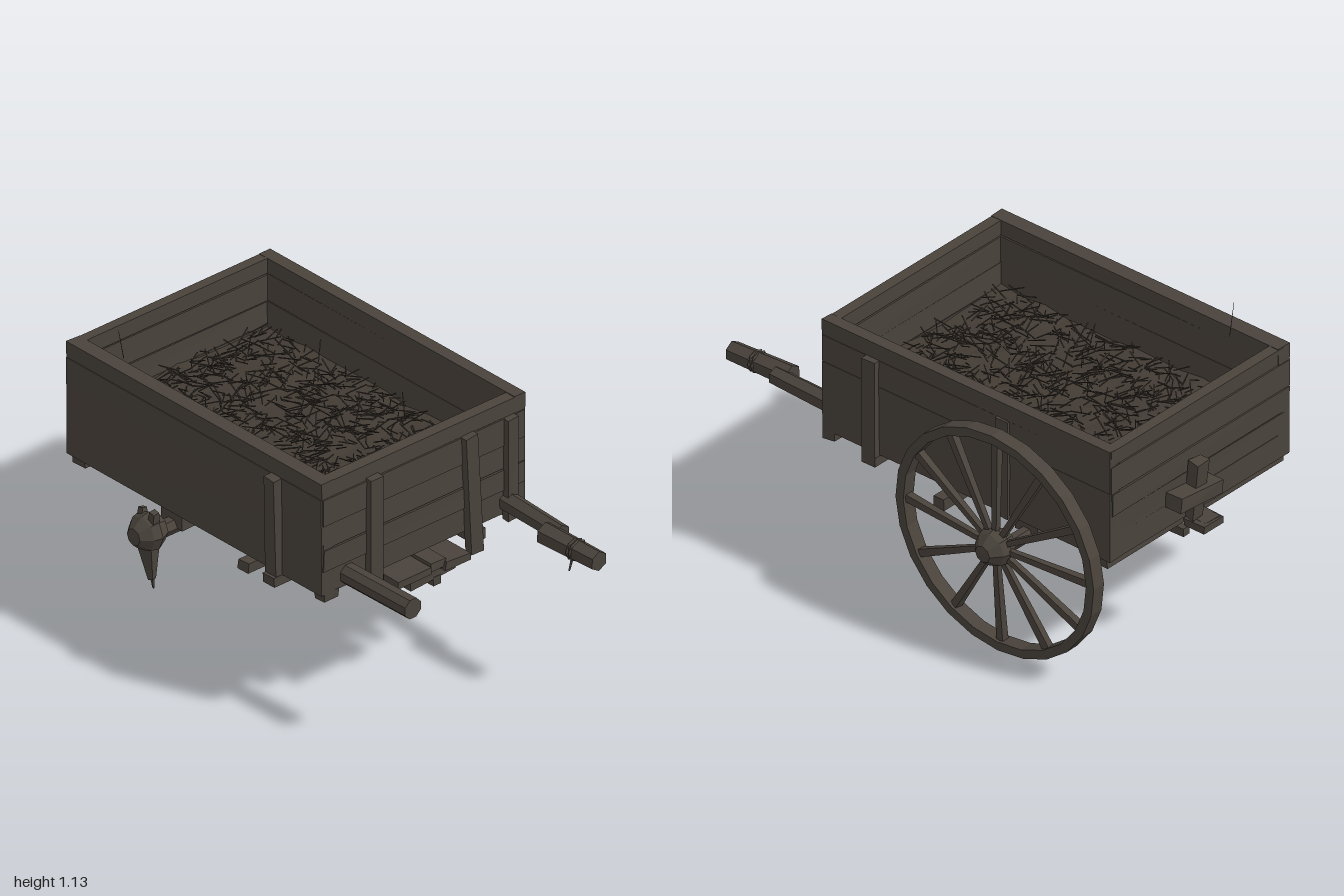
import * as THREE from 'three';
import { mergeGeometries } from 'three/addons/utils/BufferGeometryUtils.js';

let seed = 7;
const rnd = () => ((seed = (seed * 16807) % 2147483647) / 2147483647);
const jit = (a) => (rnd() - 0.5) * 2 * a;

const mat = (name, color) => {
  const m = new THREE.MeshStandardMaterial({ color, flatShading: true });
  m.name = name;
  return m;
};

export function createModel() {
  const wood = mat('weathered wood', 0x4a433c);
  const straw = mat('old straw', 0x423b34);
  const cart = new THREE.Group();
  cart.name = 'cart';

  const add = (name, geo, parent = cart, m = wood) => {
    const mesh = new THREE.Mesh(geo, m);
    mesh.name = name;
    parent.add(mesh);
    return mesh;
  };

  // Rough timber: a box whose eight corners are nudged a little
  const timber = (w, h, d, wear) => {
    const g = new THREE.BoxGeometry(w, h, d);
    const p = g.attributes.position;
    const off = {};
    for (let i = 0; i < p.count; i++) {
      const key = [p.getX(i) > 0, p.getY(i) > 0, p.getZ(i) > 0].join();
      off[key] ??= [jit(wear), jit(wear), jit(wear)];
      p.setXYZ(i, p.getX(i) + off[key][0], p.getY(i) + off[key][1], p.getZ(i) + off[key][2]);
    }
    return g;
  };

  // Timber given by its limits on each axis
  const block = (name, x0, x1, y0, y1, z0, z1, wear = 0.003) => {
    const m = add(name, timber(x1 - x0, y1 - y0, z1 - z0, wear));
    m.position.set((x0 + x1) / 2, (y0 + y1) / 2, (z0 + z1) / 2);
    return m;
  };

  // Tapered bar between two points
  const bar = (name, a, b, r0, r1, sides = 4, parent = cart) => {
    const A = new THREE.Vector3(...a), B = new THREE.Vector3(...b);
    const dir = B.clone().sub(A);
    const g = new THREE.CylinderGeometry(r1, r0, dir.length(), sides);
    g.rotateY(Math.PI / sides);
    const m = add(name, g, parent);
    m.position.copy(A).add(B).multiplyScalar(0.5);
    m.quaternion.setFromUnitVectors(new THREE.Vector3(0, 1, 0), dir.normalize());
    return m;
  };

  // Box body: floor and planked walls
  block('floor', -0.9, 0.44, 0.545, 0.575, -0.46, 0.49, 0);
  const rows = [0.55, 0.65, 0.74, 0.838, 0.95, 1.015];
  for (let i = 0; i < rows.length - 1; i++) {
    const y0 = rows[i], y1 = rows[i + 1] - (i < 4 ? 0.003 : 0);
    block('leftEndPlank', -0.92 + jit(0.003), -0.875, y0, y1, -0.468, 0.505, 0.002);
    block('rightEndPlank', 0.41, 0.46 + jit(0.004), y0, y1, -0.468, 0.505, 0.002);
  }
  for (const [y0, y1] of [[0.55, 0.838], [0.84, 0.95], [0.951, 1.017]]) {
    block('frontPlank', -0.918, 0.458, y0, y1, 0.45, 0.512, 0.002);
    block('backPlank', -0.918, 0.458, y0, y1, -0.476, -0.425, 0.002);
  }

  // Upright battens
  block('frontBatten', 0.185, 0.245, 0.51, 0.95, 0.503, 0.546).rotation.x = 0.025;
  block('backBatten', 0.185, 0.245, 0.51, 0.95, -0.502, -0.47);
  block('backMiddleBatten', -0.44, -0.38, 0.54, 0.95, -0.49, -0.47);
  block('endBatten', 0.455, 0.49, 0.51, 0.962, 0.24, 0.298);
  block('endBatten', 0.455, 0.49, 0.46, 0.955, -0.235, -0.175).rotation.x = 0.06;
  block('endCornerBatten', 0.455, 0.485, 0.53, 0.95, -0.42, -0.37);

  // Straw bed with scattered stalks
  const bed = new THREE.PlaneGeometry(1.29, 0.88, 12, 8);
  bed.rotateX(-Math.PI / 2);
  const bp = bed.attributes.position;
  for (let i = 0; i < bp.count; i++) bp.setY(i, jit(0.012));
  add('strawBed', bed, cart, straw).position.set(-0.232, 0.735, 0.014);
  const stalks = [];
  for (let i = 0; i < 1000; i++) {
    const g = new THREE.BoxGeometry(0.03 + rnd() * 0.08, 0.003, 0.004);
    g.rotateZ(jit(0.5));
    g.rotateY(rnd() * Math.PI);
    g.translate(-0.232 + jit(0.6), 0.74 + rnd() * 0.05, 0.014 + jit(0.4));
    stalks.push(g);
  }
  add('stalks', mergeGeometries(stalks), cart, straw);
  bar('looseStalk', [-0.71, 1.0, 0.42], [-0.705, 1.13, 0.45], 0.002, 0.001, 3);

  // Shafts: one snapped short, one spliced with a binding
  bar('shortShaft', [0.44, 0.595, 0.38], [0.8, 0.595, 0.375], 0.042, 0.042, 8);
  bar('longShaft', [0.44, 0.6, -0.388], [0.77, 0.6, -0.375], 0.04, 0.036, 6);
  bar('shaftSplice', [0.72, 0.597, -0.337], [1.0, 0.597, -0.347], 0.046, 0.04, 6);
  for (const x of [0.875, 0.89]) {
    const ring = add('binding', new THREE.TorusGeometry(0.04, 0.006, 4, 8));
    ring.rotation.y = Math.PI / 2;
    ring.position.set(x, 0.597, -0.342);
  }
  bar('bindingEnd', [0.885, 0.57, -0.32], [0.88, 0.52, -0.31], 0.007, 0.004, 4);

  // Under-frame: long beams, cross beams and hangers
  block('longBeam', -0.99, 0.53, 0.5, 0.532, -0.03, 0.045);
  for (const z of [-0.23, 0.26]) {
    block('sideBeam', -0.84, 0.48, 0.503, 0.545, z - 0.03, z + 0.03);
    block('hanger', -0.075, -0.035, 0.42, 0.51, z - 0.025, z + 0.025);
  }
  for (const z of [-0.345, 0.405]) block('axleBlock', -0.49, -0.38, 0.43, 0.55, z - 0.033, z + 0.033);
  block('crossBeam', 0.185, 0.245, 0.51, 0.548, -0.5, 0.55);
  block('rearCrossBeam', -0.9, -0.83, 0.515, 0.55, -0.47, 0.5);
  for (const z of [-0.44, 0.46]) block('cornerBlock', 0.4, 0.455, 0.515, 0.55, z - 0.035, z + 0.035);
  block('tieBeam', -0.08, -0.03, 0.4, 0.44, -0.42, 0.43, 0.006);
  block('floorTongue', 0.2, 0.54, 0.5, 0.53, 0.05, 0.21, 0.006);
  block('floorTongue', 0.2, 0.54, 0.49, 0.52, -0.14, -0.02, 0.006);
  block('lowerPlate', 0.1, 0.48, 0.425, 0.465, -0.12, 0.1, 0.006);
  bar('pole', [-0.87, 0.437, 0.0], [0.48, 0.415, -0.03], 0.024, 0.026, 4);
  bar('brace', [-0.05, 0.45, 0.37], [0.22, 0.5, 0.12], 0.022, 0.018, 4);
  bar('brace', [-0.05, 0.44, -0.3], [0.22, 0.5, -0.15], 0.022, 0.018, 4);

  // Tail latch
  block('latchPost', -0.965, -0.92, 0.545, 0.79, -0.06, 0.0, 0.005).rotation.z = 0.12;
  block('latchBar', -0.99, -0.915, 0.63, 0.69, -0.17, 0.06, 0.006).rotation.x = 0.1;
  block('latchStep', -1.0, -0.9, 0.5, 0.53, -0.05, 0.055);

  // Axle and hubs
  const cx = -0.435;
  bar('axle', [cx, 0.425, -0.55], [cx, 0.43, 0.55], 0.03, 0.033, 6);
  const hubProfile = [[0, -0.065], [0.055, -0.06], [0.078, -0.015], [0.07, 0.02], [0.035, 0.06], [0, 0.065]]
    .map(([r, y]) => new THREE.Vector2(r, y));
  const hub = (parent) => {
    const g = new THREE.LatheGeometry(hubProfile, 8);
    g.rotateX(Math.PI / 2);
    return add('hub', g, parent);
  };

  // Whole wheel, slightly sagged and leaning outward at the top
  const wheel = new THREE.Group();
  wheel.name = 'wheel';
  const rimProfile = [[0.436, -0.028], [0.473, -0.028], [0.473, 0.028], [0.436, 0.028], [0.436, -0.028]]
    .map(([r, y]) => new THREE.Vector2(r, y));
  const rim = new THREE.LatheGeometry(rimProfile, 24);
  rim.rotateX(Math.PI / 2);
  add('rim', rim, wheel);
  const wheelHub = hub(wheel);
  wheelHub.rotation.y = Math.PI;
  wheelHub.position.set(0, -0.015, -0.035);
  for (let i = 0; i < 12; i++) {
    const a = (i / 12) * Math.PI * 2;
    const c = Math.cos(a), s = Math.sin(a);
    bar('spoke', [c * 0.05, s * 0.05 - 0.015, -0.02], [c * 0.445, s * 0.445, 0], 0.015, 0.022, 4, wheel);
  }
  wheel.position.set(-0.432, 0.467, -0.522);
  wheel.rotation.set(-0.035, -0.01, 0);
  wheel.scale.set(1.01, 0.983, 1);
  cart.add(wheel);

  // Broken hub with spoke stubs
  const broken = new THREE.Group();
  broken.name = 'brokenWheel';
  hub(broken);
  bar('spokeStub', [0.0, -0.02, -0.005], [0.02, -0.19, -0.01], 0.05, 0.016, 5, broken);
  bar('spokeSplinter', [0.01, -0.05, 0], [0.025, -0.23, -0.015], 0.018, 0.004, 4, broken);
  bar('spokeStub', [0.03, 0.03, -0.01], [0.045, 0.1, 0.0], 0.024, 0.018, 4, broken);
  bar('spokeStub', [-0.03, 0.03, -0.01], [-0.04, 0.08, -0.02], 0.022, 0.016, 4, broken);
  broken.position.set(cx, 0.45, 0.56);
  cart.add(broken);

  return cart;
}
